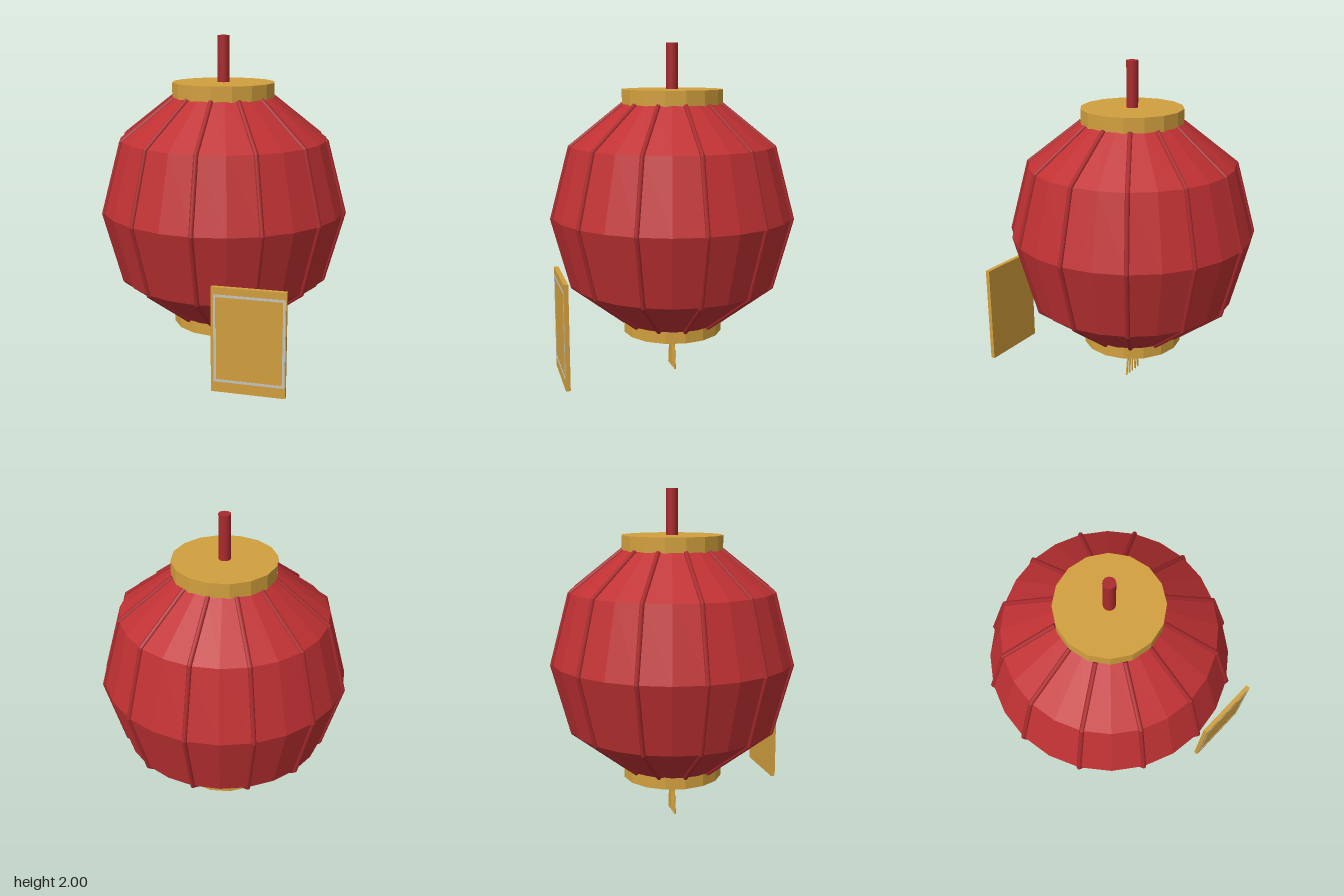
import * as THREE from 'three';

const mat = (name, color, extra = {}) => {
  const m = new THREE.MeshStandardMaterial({ color, ...extra });
  m.name = name;
  return m;
};

export function createModel() {
  const group = new THREE.Group();
  const paper = mat('paper red', 0xc03133, { flatShading: true });
  const cord = mat('rib red', 0xa92a2d);
  const gold = mat('gold', 0xd2a03e, { flatShading: true });
  const silver = mat('pale grey', 0xc4c4c0);

  const add = (name, geometry, material, x = 0, y = 0, z = 0, parent = group) => {
    const mesh = new THREE.Mesh(geometry, material);
    mesh.name = name;
    mesh.position.set(x, y, z);
    parent.add(mesh);
    return mesh;
  };
  // Round rod between two points
  const rod = (name, a, b, r, material, parent, sides = 8) => {
    const dir = b.clone().sub(a);
    const mid = a.clone().add(b).multiplyScalar(0.5);
    const mesh = add(name, new THREE.CylinderGeometry(r, r, dir.length(), sides), material, mid.x, mid.y, mid.z, parent);
    mesh.quaternion.setFromUnitVectors(new THREE.Vector3(0, 1, 0), dir.normalize());
  };

  // Faceted paper body
  const profile = [[0.3, 0.32], [0.615, 0.56], [0.728, 0.98], [0.615, 1.4], [0.3, 1.645]]
    .map(([r, y]) => new THREE.Vector2(r, y));
  add('body', new THREE.LatheGeometry(profile, 24), paper);

  // Twelve ribs that follow the body profile
  const ribs = new THREE.Group();
  ribs.name = 'ribs';
  group.add(ribs);
  for (let i = 0; i < 12; i++) {
    const a = (i * Math.PI) / 6;
    const pts = profile.map((p) => new THREE.Vector3(Math.sin(a) * p.x, p.y, Math.cos(a) * p.x));
    for (let j = 0; j < pts.length - 1; j++) rod('rib', pts[j], pts[j + 1], 0.014, cord, ribs);
    for (let j = 1; j < pts.length - 1; j++) {
      add('ribJoint', new THREE.SphereGeometry(0.014, 8, 6), cord, pts[j].x, pts[j].y, pts[j].z, ribs);
    }
  }

  // End caps and hanging cord
  add('topCap', new THREE.CylinderGeometry(0.304, 0.304, 0.09, 16), gold, 0, 1.685, 0);
  add('bottomCap', new THREE.CylinderGeometry(0.304, 0.304, 0.08, 16), gold, 0, 0.29, 0);
  add('hangingCord', new THREE.CylinderGeometry(0.035, 0.035, 0.29, 16), cord, 0, 1.855, 0);

  // Fanned tassel strands
  const tassel = new THREE.Group();
  tassel.name = 'tassel';
  group.add(tassel);
  for (let i = -2; i <= 2; i++) {
    rod('strand', new THREE.Vector3(i * 0.015, 0.26, 0), new THREE.Vector3(i * 0.034, 0.002, 0), 0.007, gold, tassel, 6);
  }

  // Floating tag with a thin border
  const tag = new THREE.Group();
  tag.name = 'tag';
  tag.position.set(0.315, 0.42, 0.727);
  group.add(tag);
  add('tagBoard', new THREE.BoxGeometry(0.41, 0.6, 0.026), gold, 0, 0, 0, tag);
  for (const s of [-1, 1]) {
    add('borderSide', new THREE.BoxGeometry(0.014, 0.5, 0.003), silver, 0.005 + s * 0.188, 0.01, 0.0135, tag);
    add('borderEdge', new THREE.BoxGeometry(0.362, 0.014, 0.003), silver, 0.005, 0.01 + s * 0.243, 0.0135, tag);
  }
  return group;
}
